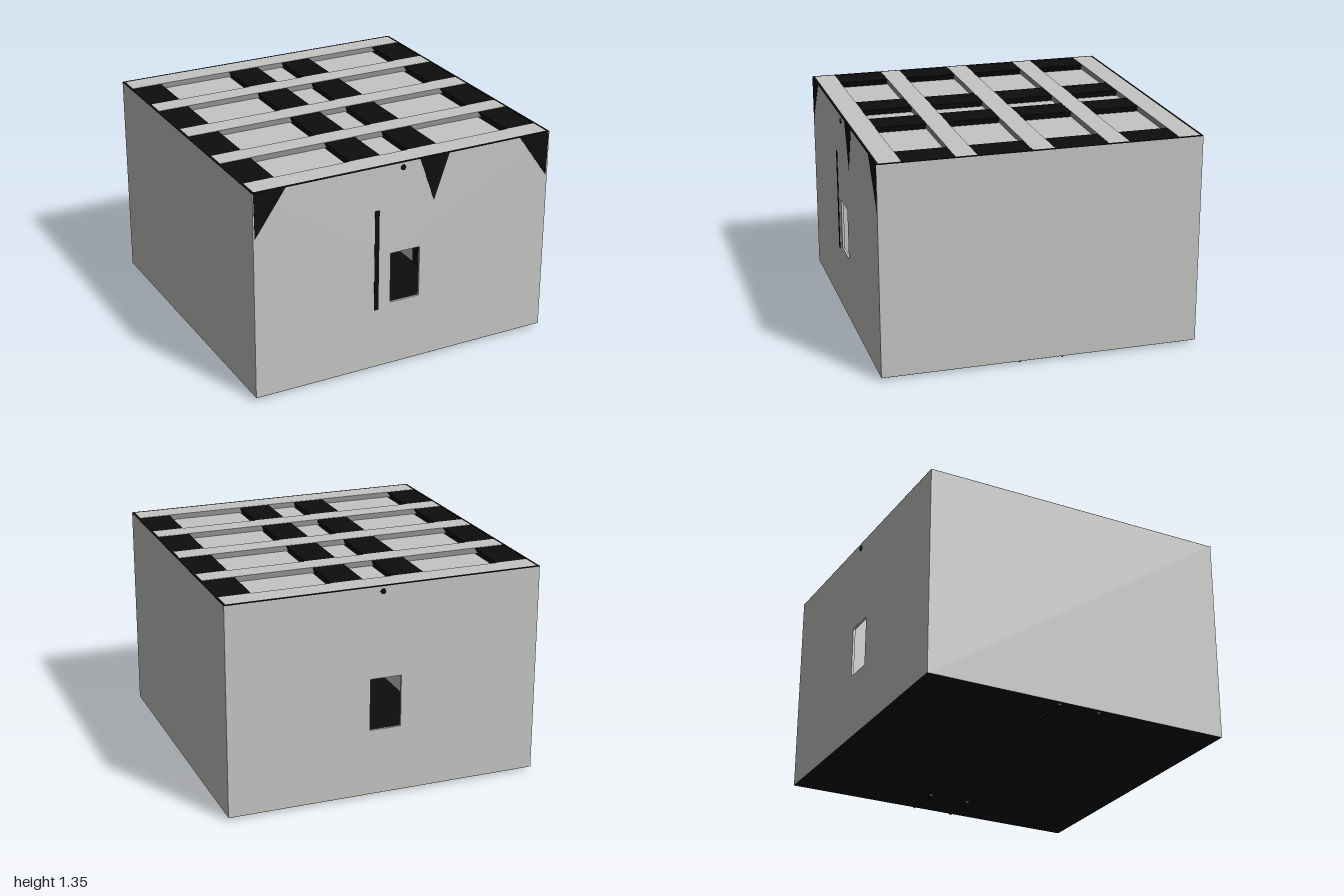
import * as THREE from 'three';

export function createModel() {
  const model = new THREE.Group();
  const mat = (name, color) => Object.assign(new THREE.MeshStandardMaterial({ color }), { name });
  const grey = mat('concrete grey', 0xc4c4c2);
  const shade = mat('recess grey', 0x909090);
  const black = mat('black', 0x0d0d0d);

  const add = (name, geo, material) => {
    const mesh = new THREE.Mesh(geo, material);
    mesh.name = name;
    model.add(mesh);
    return mesh;
  };
  // Box given by its limits on each axis
  const box = (name, material, x0, x1, y0, y1, z0, z1) =>
    add(name, new THREE.BoxGeometry(x1 - x0, y1 - y0, z1 - z0), material)
      .position.set((x0 + x1) / 2, (y0 + y1) / 2, (z0 + z1) / 2);
  const shapeOf = pts => new THREE.Shape(pts.map(p => new THREE.Vector2(...p)));
  const extrude = (shape, depth) => new THREE.ExtrudeGeometry(shape, { depth, bevelEnabled: false });

  const T = 0.015, IN = 1 - T, TOP = 1.35, BASE = 0.02, WALL = 1.346;

  // Front and back walls with a window
  const wall = shapeOf([[-1, BASE], [1, BASE], [1, WALL], [-1, WALL]]);
  wall.holes.push(new THREE.Path([[-0.1, 0.44], [-0.1, 0.77], [0.1, 0.77], [0.1, 0.44]]
    .map(p => new THREE.Vector2(...p))));
  add('frontWall', extrude(wall, T), grey).position.z = IN;
  add('backWall', extrude(wall, T), grey).position.z = -1;

  // Floor
  box('floor', black, -0.999, 0.999, 0.018, 0.024, -0.999, 0.999);

  for (const s of [-1, 1]) {
    const span = (a, b) => (s > 0 ? [a, b] : [-b, -a]);
    // Side walls, inner partitions and their posts
    box('sideWall', grey, ...span(IN, 1), BASE, WALL, -IN, IN);
    box('innerPartition', grey, ...span(0.72, 0.735), 0.024, 1.31, -IN, IN);
    for (const z of [-0.07, 0.07])
      box('partitionPost', black, ...span(0.712, 0.72), 0.024, 1.31, z - 0.04, z + 0.04);
    // Black rim around the top
    box('sideRim', black, ...span(IN, 1), WALL, TOP, -IN, IN);
    box('endRim', black, -1, 1, WALL, TOP, ...span(IN, 1));
    // Small dot under the roof edge at each end
    const dot = add('dot', new THREE.CylinderGeometry(0.017, 0.017, 0.008, 12), black);
    dot.rotation.x = Math.PI / 2;
    dot.position.set(-0.025 * s, 1.315, s * 1.001);
    // Wedge feet
    for (const e of [-1, 1]) {
      const foot = shapeOf([[-0.02, 0.02], [e * 0.008, 0], [0.02, 0.02]]);
      const geo = extrude(foot, 0.26).rotateY(Math.PI / 2);
      add('foot', geo, black).position.set(s > 0 ? 0.72 : -0.98, 0, -e * 0.13);
    }
  }

  // Triangular roof beams running front to back: [left, tip, right, front end]
  const beams = [[-0.995, -0.99, -0.79, 1.001], [-0.3, -0.195, -0.095, 0.98],
    [0.09, 0.19, 0.29, 1.001], [0.785, 0.99, 0.995, 1.001]];
  for (const [a, tip, b, front] of beams) {
    const tri = shapeOf([[a, 1.348], [tip, 1.06], [b, 1.348]]);
    add('roofBeam', extrude(tri, front + 0.98), black).position.z = -0.98;
  }

  // Recessed ceiling panels between the beams
  for (const [a, b] of [[-0.79, -0.3], [-0.095, 0.09], [0.29, 0.785]])
    box('ceilingPanel', grey, a, b, 1.308, 1.316, -IN, IN);

  // Roof slats with darker long sides
  const slatMats = [grey, grey, grey, grey, shade, shade];
  for (const [a, b] of [[-IN, -0.85], [-0.535, -0.405], [-0.07, 0.065], [0.4, 0.53], [0.85, IN]])
    box('roofSlat', slatMats, -IN, IN, 1.312, TOP, a, b);

  // Upright bar on the front wall
  box('frontBar', black, -0.21, -0.18, 0.41, 1.07, 0.996, 1.002);

  return model;
}
